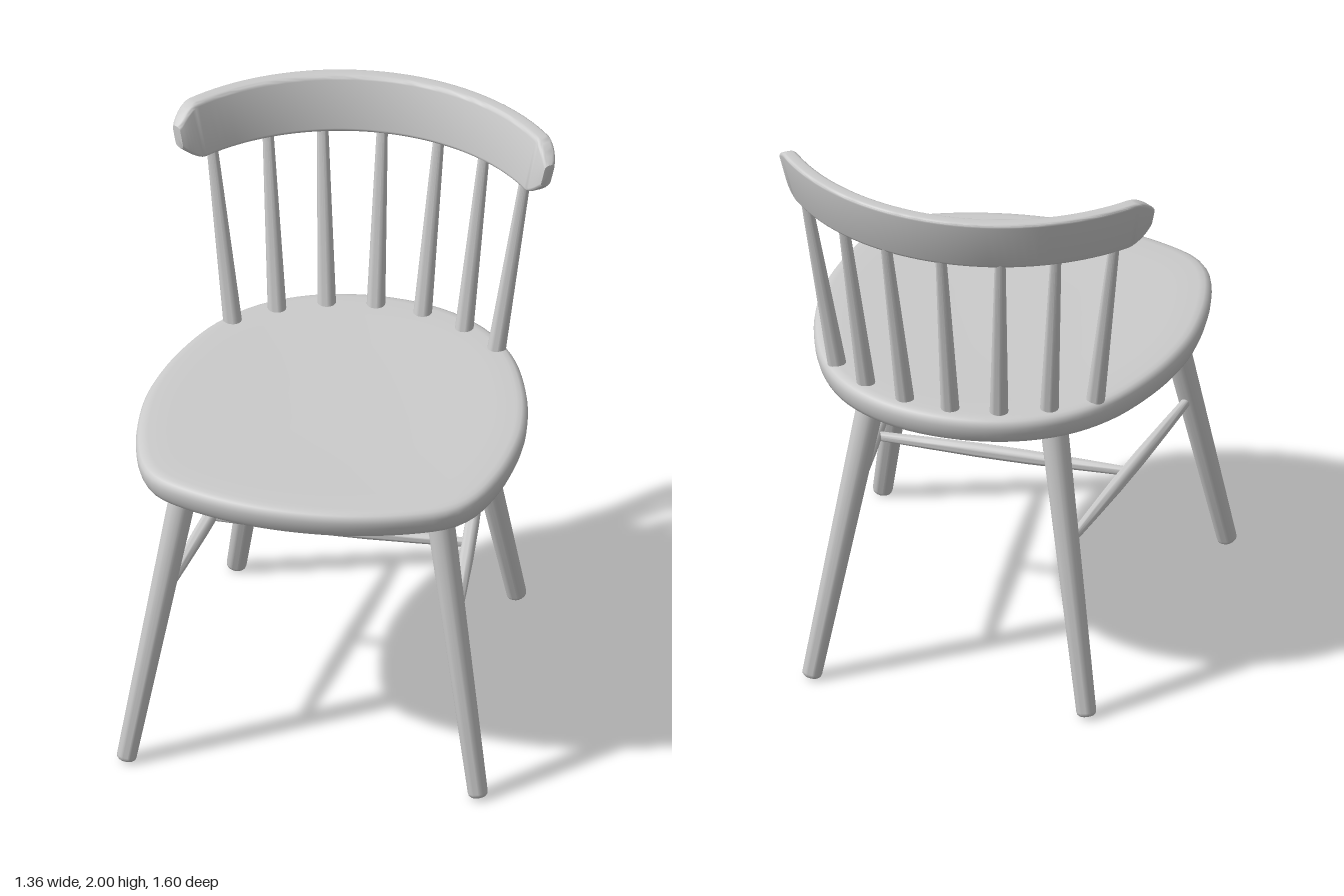
import * as THREE from 'three';
import { toCreasedNormals } from 'three/addons/utils/BufferGeometryUtils.js';

const material = new THREE.MeshStandardMaterial({ color: 0xcccccc });
const V = (x, y, z) => new THREE.Vector3(x, y, z);

function part(name, geometry) {
  const mesh = new THREE.Mesh(toCreasedNormals(geometry, 0.7), material);
  mesh.name = name;
  return mesh;
}

// Skin over a list of closed rings of equal length
function loft(rings) {
  const n = rings[0].length;
  const index = [];
  for (let i = 0; i < rings.length - 1; i++) {
    for (let j = 0; j < n; j++) {
      const a = i * n + j, b = i * n + (j + 1) % n;
      index.push(a, a + n, b, b, a + n, b + n);
    }
  }
  const geometry = new THREE.BufferGeometry().setFromPoints(rings.flat());
  geometry.setIndex(index);
  return geometry;
}

// Turned rod from a to b; profile is [radius, fraction of length]
function rod(name, a, b, profile) {
  const axis = b.clone().sub(a);
  const length = axis.length();
  const points = profile.map(([r, t]) => new THREE.Vector2(r, t * length));
  const mesh = part(name, new THREE.LatheGeometry(points, 24));
  mesh.position.copy(a);
  mesh.quaternion.setFromUnitVectors(V(0, 1, 0), axis.normalize());
  return mesh;
}

// Shield-shaped seat with rounded rim and shallow dish
function makeSeat() {
  const half = [[0.22, -0.655], [0.4, -0.555], [0.53, -0.4], [0.625, -0.17], [0.667, 0.03], [0.675, 0.18],
    [0.652, 0.4], [0.597, 0.58], [0.53, 0.665], [0.4, 0.73], [0.2, 0.784]];
  const outline = [[0, -0.69], ...half, [0, 0.8], ...half.map(([x, z]) => [-x, z]).reverse()];
  const curve = new THREE.CatmullRomCurve3(outline.map(([x, z]) => V(x, 0, z)), true, 'centripetal');
  const edge = curve.getSpacedPoints(96).slice(0, 96);
  // [scale, height] from the underside centre round to the top centre
  const profile = [[0, 1.033], [0.35, 1.035], [0.65, 1.042], [0.9, 1.05], [0.955, 1.054], [0.978, 1.063], [0.988, 1.078],
    [0.997, 1.1], [1, 1.12], [0.997, 1.135], [0.986, 1.147], [0.968, 1.153], [0.94, 1.155],
    [0.8, 1.152], [0.55, 1.146], [0.3, 1.143], [0, 1.142]];
  return part('seat', loft(profile.map(([s, y]) => edge.map(p => V(p.x * s, y, 0.05 + (p.z - 0.05) * s)))));
}

// Curved, leaning top rail with rounded-off ends
function makeTopRail() {
  const section = (angle, h, t) => {
    const ring = [];
    const bevel = Math.min(0.014, h, t);
    // corners: front bottom, front top, back top, back bottom
    [[-1, -1], [-1, 1], [1, 1], [1, -1]].forEach(([sr, sy], corner) => {
      for (let k = 0; k <= 4; k++) {
        const a = -Math.PI / 2 - (corner + k / 4) * Math.PI / 2;
        const y = sy * (h - bevel) + Math.sin(a) * bevel;
        const r = 0.776 + 0.25 * y + sr * (t - bevel) + Math.cos(a) * bevel;
        ring.push(V(r * Math.sin(angle), 1.9 + y, 0.028 - r * Math.cos(angle)));
      }
    });
    return ring;
  };
  const ends = [0.15, 0.3, 0.45, 0.6, 0.75, 0.88, 1].map(u => 51 + 7 * u);
  const body = Array.from({ length: 41 }, (_, i) => -51 + 102 * i / 40);
  const rings = [...ends.map(d => -d).reverse(), ...body, ...ends].map(d => {
    const u = Math.max(0, (Math.abs(d) - 51) / 7);
    return section(THREE.MathUtils.degToRad(d), 0.1 * (1 - 0.6 * u ** 1.6), 0.0275 * (1 - 0.35 * u ** 4));
  });
  const tip = THREE.MathUtils.degToRad(58.1);
  return part('topRail', loft([section(-tip, 0, 0), ...rings, section(tip, 0, 0)]));
}

export function createModel() {
  const chair = new THREE.Group();
  chair.name = 'chair';
  chair.add(makeSeat(), makeTopRail());

  const leg = [[0, 0], [0.026, 0], [0.033, 0.006], [0.035, 0.014], [0.049, 1], [0, 1]];
  const spindle = [[0, 0], [0.033, 0], [0.019, 1], [0, 1]];
  const stretcher = [[0, 0], [0.016, 0], [0.021, 0.2], [0.025, 0.4], [0.025, 0.6], [0.021, 0.8], [0.016, 1], [0, 1]];

  for (const [side, s] of [['Left', 1], ['Right', -1]]) {
    // Splayed legs and the stretcher joining them
    chair.add(rod('front' + side + 'Leg', V(s * 0.627, 0.008, 0.7), V(s * 0.447, 1.075, 0.511), leg));
    chair.add(rod('back' + side + 'Leg', V(s * 0.5, 0.008, -0.63), V(s * 0.327, 1.075, -0.453), leg));
    chair.add(rod('side' + side + 'Stretcher', V(s * 0.52, 0.62, 0.585), V(s * 0.4, 0.62, -0.52), stretcher));
    // Back spindles: foot x, foot z, top x, top z
    [[0.17, -0.592, 0.208, -0.708], [0.332, -0.52, 0.386, -0.622], [0.468, -0.413, 0.56, -0.49]]
      .forEach(([x0, z0, x1, z1], i) =>
        chair.add(rod('spindle' + side + (i + 1), V(s * x0, 1.135, z0), V(s * x1, 1.83, z1), spindle)));
  }
  chair.add(rod('spindleCentre', V(0, 1.135, -0.615), V(0, 1.83, -0.735), spindle));
  chair.add(rod('crossStretcher', V(-0.46, 0.62, 0.03), V(0.46, 0.62, 0.03), stretcher));
  return chair;
}
